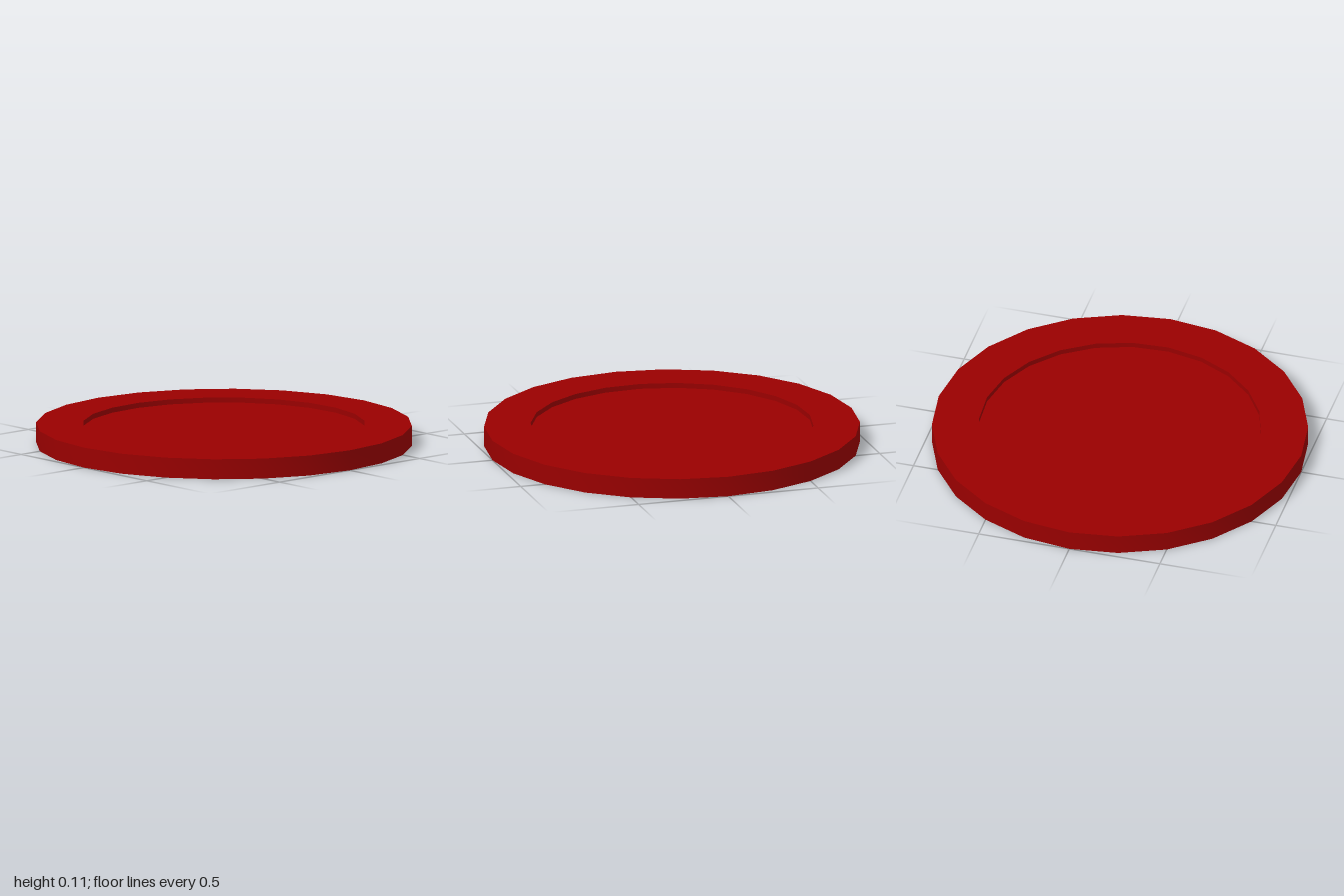
import * as THREE from 'three';
import { toCreasedNormals } from 'three/addons/utils/BufferGeometryUtils.js';

const SIDES = 24;
const HEIGHT = 0.108;
const FLOOR_Y = 0.081;

// Regular clockwise polygon, turned by a small angle
function polygon(radius, turn) {
  return Array.from({ length: SIDES }, (_, i) => {
    const a = turn + (i / SIDES) * Math.PI * 2;
    return new THREE.Vector2(radius * Math.sin(a), radius * Math.cos(a));
  });
}

export function createModel() {
  const group = new THREE.Group();
  group.name = 'dish';
  const red = new THREE.MeshStandardMaterial({ color: 0x990000 });
  const sheetRed = red.clone();
  sheetRed.side = THREE.DoubleSide;

  const inner = polygon(0.752, THREE.MathUtils.degToRad(4.4));

  // Rim: flat ring with smooth walls; outline counter-clockwise, hole clockwise
  const ring = new THREE.Shape(polygon(1, 0).reverse());
  ring.holes.push(new THREE.Path(inner));
  const rimGeometry = new THREE.ExtrudeGeometry(ring, { depth: HEIGHT, bevelEnabled: false });
  rimGeometry.rotateX(-Math.PI / 2);
  const rim = new THREE.Mesh(toCreasedNormals(rimGeometry, 0.6), red);
  rim.name = 'rim';
  group.add(rim);

  // Floor: thin sheet set a little below the top of the rim
  const floorGeometry = new THREE.ShapeGeometry(new THREE.Shape(inner));
  floorGeometry.rotateX(-Math.PI / 2);
  const floor = new THREE.Mesh(floorGeometry, sheetRed);
  floor.name = 'floor';
  floor.position.y = FLOOR_Y;
  group.add(floor);

  return group;
}
